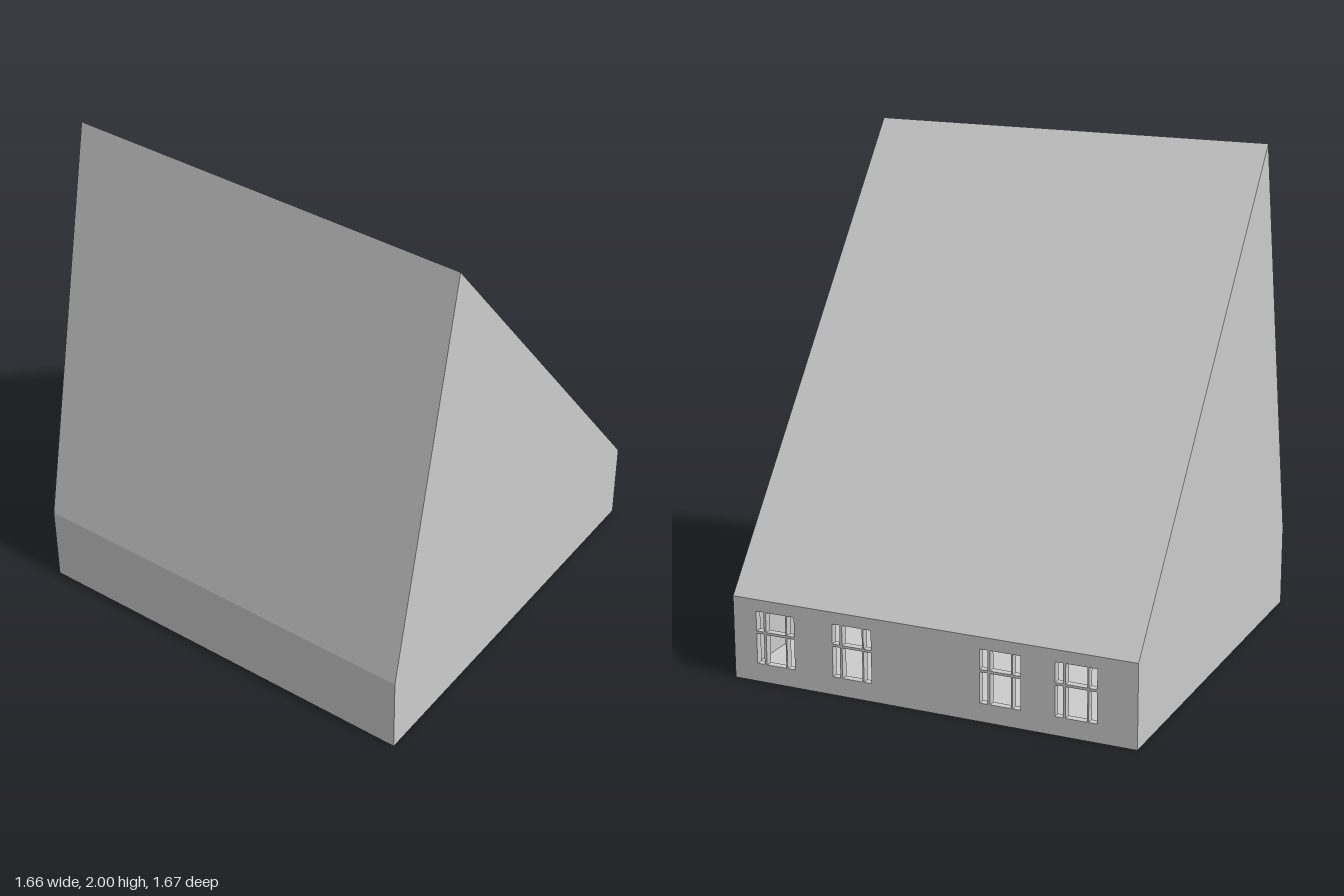
import * as THREE from 'three';

const material = new THREE.MeshStandardMaterial({ color: 0xcccccc, flatShading: true, side: THREE.DoubleSide });
const W = 0.83, D = 0.835, T = 0.03;

// Gable outline, counter-clockwise seen from the front
const profile = [[-W, 0], [W, 0], [W, 0.335], [-0.48, 2], [-W, 0.33]];

function add(group, name, geometry) {
  const mesh = new THREE.Mesh(geometry, material);
  mesh.name = name;
  group.add(mesh);
  return mesh;
}

// Flat panel running front to back along one edge of the profile
function panel([x0, y0], [x1, y1]) {
  const g = new THREE.BufferGeometry();
  g.setAttribute('position', new THREE.Float32BufferAttribute(
    [x0, y0, D, x0, y0, -D, x1, y1, -D, x1, y1, D], 3));
  g.setIndex([0, 1, 2, 0, 2, 3]);
  g.computeVertexNormals();
  return g;
}

function rectangle(path, x0, y0, x1, y1) {
  path.moveTo(x0, y0);
  path.lineTo(x1, y0);
  path.lineTo(x1, y1);
  path.lineTo(x0, y1);
  path.closePath();
  return path;
}

// Low wall pierced by four windows of six panes each
function windowWall() {
  const shape = rectangle(new THREE.Shape(), -D, 0, D, 0.335);
  const columns = [[0, 0.032], [0.042, 0.127], [0.133, 0.165]];
  const rows = [[0.074, 0.197], [0.207, 0.287]];
  for (const start of [-0.735, -0.405, 0.21, 0.512]) {
    for (const [a, b] of columns) {
      for (const [low, high] of rows) {
        shape.holes.push(rectangle(new THREE.Path(), start + a, low, start + b, high));
      }
    }
  }
  const g = new THREE.ExtrudeGeometry(shape, { depth: T, bevelEnabled: false });
  g.rotateY(Math.PI / 2);
  g.translate(W - T, 0, 0);
  return g;
}

export function createModel() {
  const house = new THREE.Group();
  house.name = 'house';

  // Gable ends
  const gable = new THREE.ShapeGeometry(new THREE.Shape(profile.map(([x, y]) => new THREE.Vector2(x, y))));
  add(house, 'frontGable', gable).position.z = D;
  const back = add(house, 'backGable', gable.clone().scale(-1, 1, 1).rotateY(Math.PI));
  back.geometry.setIndex(Array.from(gable.index.array).reverse());
  back.geometry.computeVertexNormals();
  back.position.z = -D;

  // Floor, roof slopes and plain wall
  add(house, 'floor', panel(profile[0], profile[1]));
  add(house, 'longRoofSlope', panel(profile[2], profile[3]));
  add(house, 'steepRoofSlope', panel(profile[3], profile[4]));
  add(house, 'plainWall', panel(profile[4], profile[0]));

  // Wall with windows
  add(house, 'windowWall', windowWall());
  return house;
}
